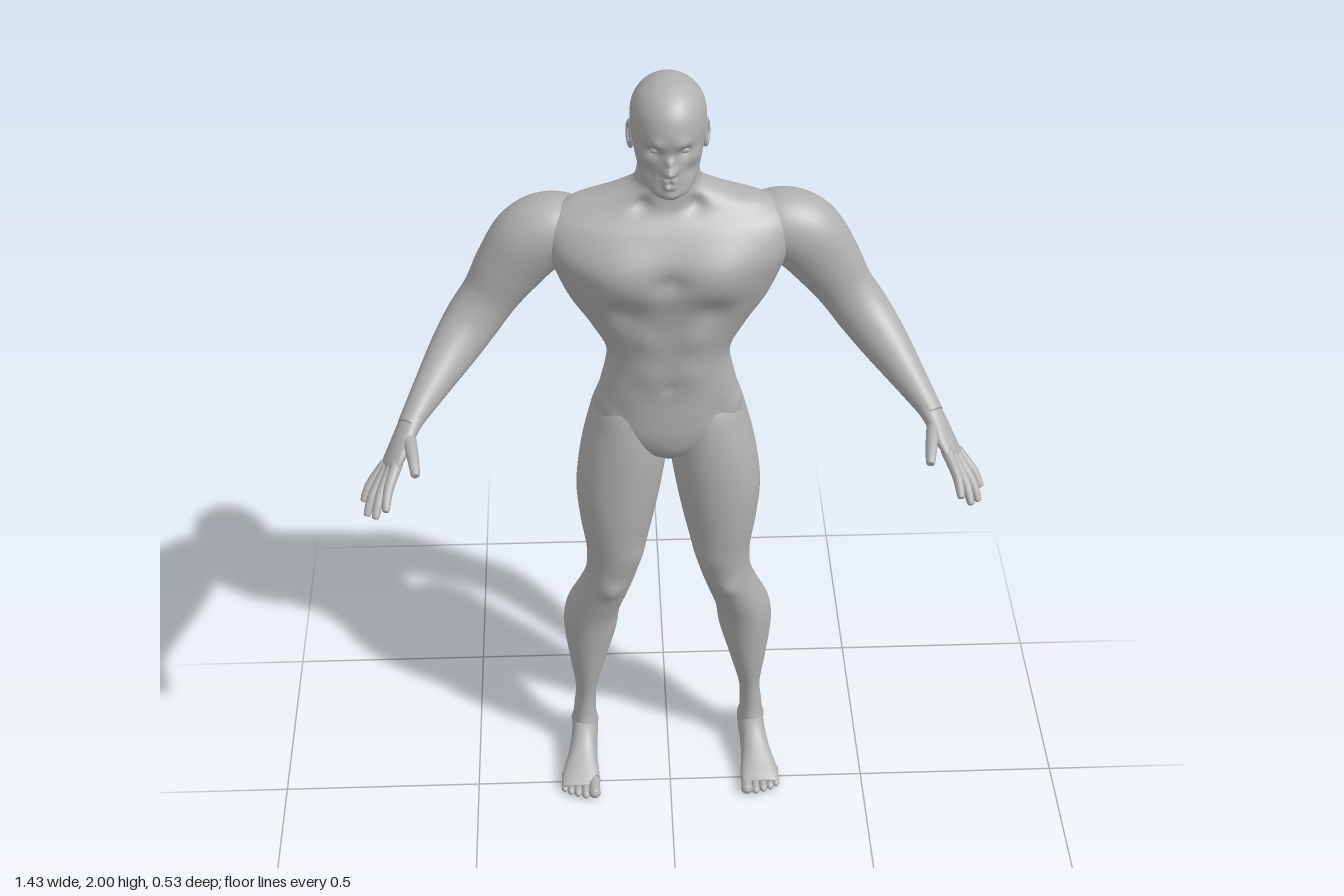
import * as THREE from 'three';

const skin = new THREE.MeshStandardMaterial({ color: 0xb0b0b0 });
skin.name = 'skin grey';

// Smooth tube through sections [x, y, z, radiusU, radiusV, squareness].
// flat keeps the rings horizontal; otherwise they follow the path, turned by ref.
function loft(sections, { flat = false, ref = [0, 0, 1], steps = 6, around = 32 } = {}) {
  const path = new THREE.CatmullRomCurve3(sections.map(s => new THREE.Vector3(s[0], s[1], s[2])), false, 'catmullrom', 0.5);
  const size = new THREE.CatmullRomCurve3(sections.map(s => new THREE.Vector3(s[3], s[4], s[5] ?? 2)), false, 'catmullrom', 0.5);
  const rows = (sections.length - 1) * steps;
  const refV = new THREE.Vector3(...ref);
  const pos = [], index = [];
  const power = (v, p) => Math.sign(v) * Math.pow(Math.abs(v), 2 / p);
  for (let r = -1; r <= rows + 1; r++) {
    const t = Math.min(Math.max(r / rows, 0), 1);
    const c = path.getPoint(t), s = size.getPoint(t);
    const closed = r < 0 || r > rows ? 0 : 1;
    const T = path.getTangent(t);
    if (flat) T.set(0, Math.sign(T.y) || 1, 0);
    const U = T.clone().cross(refV).normalize();
    const V = U.clone().cross(T).normalize();
    for (let i = 0; i < around; i++) {
      const a = (i / around) * Math.PI * 2;
      const p = c.clone()
        .addScaledVector(U, closed * s.x * power(Math.cos(a), s.z))
        .addScaledVector(V, closed * s.y * power(Math.sin(a), s.z));
      pos.push(p.x, p.y, p.z);
    }
  }
  for (let r = 0; r < rows + 2; r++) {
    for (let i = 0; i < around; i++) {
      const a = r * around + i, b = r * around + (i + 1) % around;
      index.push(a, a + around, b, b, a + around, b + around);
    }
  }
  const g = new THREE.BufferGeometry();
  g.setAttribute('position', new THREE.Float32BufferAttribute(pos, 3));
  g.setIndex(index);
  g.computeVertexNormals();
  return g;
}

// Horizontal section given by its limits: [y, left x, right x, back z, front z, squareness]
const slab = ([y, x0, x1, zb, zf, p = 2]) => [(x0 + x1) / 2, y, (zb + zf) / 2, (x1 - x0) / 2, (zf - zb) / 2, p];
const centred = ([y, w, zb, zf, p]) => slab([y, -w, w, zb, zf, p]);

// Soft brushes [x, y, z, radius, dx, dy, dz], mirrored when off the centre line
function sculpt(g, brushes) {
  const all = brushes.flatMap(b => b[0] ? [b, [-b[0], b[1], b[2], b[3], -b[4], b[5], b[6]]] : [b]);
  const P = g.attributes.position, v = new THREE.Vector3();
  for (let i = 0; i < P.count; i++) {
    v.fromBufferAttribute(P, i);
    const o = v.clone();
    for (const [x, y, z, r, dx, dy, dz] of all) {
      const k = Math.exp(-((o.x - x) ** 2 + (o.y - y) ** 2 + (o.z - z) ** 2) / (r * r));
      v.x += dx * k; v.y += dy * k; v.z += dz * k;
    }
    P.setXYZ(i, v.x, v.y, v.z);
  }
  g.computeVertexNormals();
  return g;
}

function mirrored(g) {
  const m = g.clone().scale(-1, 1, 1), ix = m.index;
  for (let i = 0; i < ix.count; i += 3) {
    const a = ix.getX(i);
    ix.setX(i, ix.getX(i + 1));
    ix.setX(i + 1, a);
  }
  m.computeVertexNormals();
  return m;
}

function ball(x, y, z, sx, sy, sz) {
  return new THREE.SphereGeometry(1, 20, 14).scale(sx, sy, sz).translate(x, y, z);
}

export function createModel() {
  const model = new THREE.Group();
  model.name = 'standingFigure';
  const add = (name, g) => {
    const m = new THREE.Mesh(g, skin);
    m.name = name;
    model.add(m);
  };
  const pair = (name, g) => {
    add(name + 'Left', g);
    add(name + 'Right', mirrored(g));
  };

  // Torso and neck, with chest, shoulder blades and spine groove
  const torso = loft([
    [0.99, 0.03, -0.17, -0.08], [1.03, 0.10, -0.19, -0.04], [1.08, 0.165, -0.215, -0.025],
    [1.14, 0.176, -0.23, -0.024, 2.2], [1.2, 0.16, -0.215, -0.025, 2.3], [1.3, 0.145, -0.212, -0.02, 2.3],
    [1.38, 0.185, -0.23, -0.015, 2.3], [1.45, 0.23, -0.243, -0.006, 2.3], [1.52, 0.26, -0.25, 0.004, 2.3],
    [1.58, 0.28, -0.25, 0, 2.4], [1.64, 0.28, -0.236, -0.03, 2.3], [1.68, 0.23, -0.215, -0.062],
    [1.705, 0.15, -0.205, -0.07], [1.735, 0.085, -0.193, -0.072], [1.77, 0.07, -0.188, -0.066], [1.84, 0.064, -0.18, -0.07],
  ].map(centred), { flat: true, steps: 8, around: 96 });
  sculpt(torso, [
    [0.11, 1.54, 0, 0.08, 0, 0, 0.02], [0.1, 1.45, -0.01, 0.04, 0, 0, -0.012],
    [0, 1.54, 0.01, 0.028, 0, 0, -0.014], [0.1, 1.485, 0.01, 0.012, 0, 0, 0.004],
    [0.17, 1.58, -0.24, 0.07, 0, 0, -0.018], [0.08, 1.5, -0.25, 0.07, 0, 0, -0.012],
    [0.055, 1.37, -0.015, 0.035, 0, 0, 0.006], [0.05, 1.27, -0.02, 0.035, 0, 0, 0.005],
    [0, 1.235, -0.022, 0.01, 0, 0, -0.008], [0.12, 1.15, -0.04, 0.03, 0, 0, -0.006],
    [0.06, 1.7, -0.07, 0.02, 0, 0, -0.015],
    ...[1.22, 1.28, 1.34, 1.4, 1.46, 1.52, 1.58, 1.64].map(y => [0, y, -0.24, 0.035, 0, 0, 0.013]),
  ]);
  add('torso', torso);

  // Head, with nose, brow, eye sockets, lips, chin and cheekbones
  const head = loft([
    [1.751, 0.026, -0.06, -0.012], [1.765, 0.047, -0.09, -0.001], [1.79, 0.063, -0.14, -0.003],
    [1.82, 0.073, -0.185, -0.006], [1.86, 0.081, -0.213, -0.007], [1.9, 0.085, -0.222, -0.002],
    [1.94, 0.081, -0.217, -0.012], [1.97, 0.064, -0.195, -0.034], [1.99, 0.038, -0.162, -0.068], [1.999, 0.012, -0.13, -0.1],
  ].map(centred), { flat: true, steps: 10, around: 112 });
  sculpt(head, [
    [0, 1.828, -0.005, 0.012, 0, 0, 0.027], [0, 1.848, -0.005, 0.01, 0, 0, 0.013],
    [0.012, 1.824, -0.005, 0.007, 0, 0, 0.009], [0.03, 1.887, -0.01, 0.016, 0, 0, 0.007],
    [0.032, 1.868, -0.018, 0.014, 0, 0, -0.012], [0.009, 1.803, -0.004, 0.008, 0, 0, 0.008],
    [0.007, 1.789, -0.004, 0.008, 0, 0, 0.008], [0, 1.796, 0, 0.006, 0, 0, -0.006],
    [0, 1.766, 0, 0.015, 0, 0, 0.005], [0.055, 1.845, -0.04, 0.02, 0.004, 0, 0.004],
    [0.045, 1.815, -0.03, 0.018, -0.004, 0, -0.004],
  ]);
  add('head', head);
  pair('eye', ball(0.031, 1.868, -0.029, 0.013, 0.009, 0.01));

  // Ears: a rim around a shallow shell
  pair('earRim', new THREE.TorusGeometry(0.017, 0.006, 10, 24).scale(0.85, 1.5, 0.9)
    .rotateY(Math.PI / 2 - 0.3).rotateX(-0.15).translate(0.084, 1.86, -0.117));
  pair('earShell', ball(0.081, 1.858, -0.114, 0.006, 0.024, 0.014));

  // Arms from the shoulder to the wrist
  pair('arm', loft([
    [0.2, 1.6, -0.155, 0.068, 0.078], [0.265, 1.598, -0.155, 0.085, 0.085], [0.315, 1.57, -0.15, 0.09, 0.082],
    [0.365, 1.505, -0.145, 0.08, 0.07], [0.41, 1.435, -0.14, 0.067, 0.062], [0.455, 1.375, -0.12, 0.064, 0.06],
    [0.5, 1.325, -0.072, 0.056, 0.052], [0.55, 1.275, 0, 0.041, 0.04], [0.588, 1.237, 0.058, 0.029, 0.032],
    [0.602, 1.222, 0.08, 0.025, 0.03],
  ], { steps: 8, around: 40 }));

  // Hands: palm, four spread fingers and a thumb
  const spread = [0.03, -0.025, -0.04];
  pair('palm', loft([
    [0.585, 1.24, 0.055, 0.027, 0.03], [0.605, 1.215, 0.085, 0.023, 0.034], [0.625, 1.185, 0.12, 0.019, 0.04],
    [0.642, 1.163, 0.147, 0.014, 0.04], [0.649, 1.155, 0.157, 0.007, 0.033],
  ], { ref: spread, around: 28 }));
  const digits = {
    indexFinger: [[0.626, 1.176, 0.158], [0.645, 1.145, 0.215], [0.652, 1.113, 0.26]],
    middleFinger: [[0.638, 1.164, 0.15], [0.665, 1.125, 0.21], [0.678, 1.086, 0.25]],
    ringFinger: [[0.648, 1.156, 0.14], [0.683, 1.112, 0.187], [0.7, 1.072, 0.22]],
    littleFinger: [[0.655, 1.152, 0.126], [0.692, 1.115, 0.158], [0.709, 1.084, 0.182]],
    thumb: [[0.603, 1.213, 0.095], [0.59, 1.2, 0.165], [0.582, 1.18, 0.218]],
  };
  for (const [name, [base, knuckle, tip]] of Object.entries(digits)) {
    const r = name === 'thumb' ? 0.014 : 0.0115;
    const near = tip.map((v, i) => v + (knuckle[i] - v) * 0.12);
    pair(name, loft([
      [...base, r * 1.2, r * 1.2], [...knuckle, r, r], [...near, r * 0.75, r * 0.75], [...tip, r * 0.3, r * 0.3],
    ], { ref: [1, 0, 0], around: 14 }));
  }

  // Legs with buttocks, thighs, knees and calves
  const leg = loft([
    [1.185, 0.05, 0.13, -0.19, -0.08], [1.14, 0.012, 0.172, -0.245, -0.045], [1.08, 0.003, 0.192, -0.262, -0.03],
    [1, 0.003, 0.212, -0.24, -0.022], [0.9, 0.018, 0.224, -0.218, -0.02], [0.8, 0.037, 0.217, -0.213, -0.024],
    [0.7, 0.06, 0.203, -0.2, -0.035], [0.62, 0.08, 0.207, -0.198, -0.046], [0.55, 0.1, 0.23, -0.218, -0.06],
    [0.47, 0.122, 0.26, -0.25, -0.08], [0.4, 0.132, 0.266, -0.253, -0.09], [0.3, 0.16, 0.254, -0.228, -0.1],
    [0.2, 0.186, 0.241, -0.204, -0.115], [0.13, 0.19, 0.247, -0.2, -0.115], [0.075, 0.19, 0.25, -0.212, -0.1],
    [0.03, 0.194, 0.249, -0.212, -0.11],
  ].map(slab), { flat: true, steps: 7, around: 48 });
  sculpt(leg, [
    [0.145, 0.6, -0.05, 0.03, 0, 0, 0.01], [0.1, 0.7, -0.07, 0.04, -0.006, 0, 0.006],
    [0.19, 0.085, -0.15, 0.016, -0.006, 0, 0], [0.25, 0.08, -0.165, 0.016, 0.006, 0, 0],
  ]);
  pair('leg', leg);

  // Feet with a row of toes
  pair('foot', loft([
    [0.22, 0.034, -0.222, 0.018, 0.02], [0.22, 0.041, -0.205, 0.032, 0.04], [0.22, 0.052, -0.16, 0.034, 0.051],
    [0.222, 0.052, -0.11, 0.034, 0.051], [0.227, 0.038, -0.06, 0.038, 0.037], [0.232, 0.025, -0.01, 0.047, 0.024],
    [0.234, 0.017, 0.022, 0.049, 0.016], [0.234, 0.014, 0.036, 0.044, 0.009],
  ].map(s => [...s, 2.3]), { ref: [0, 1, 0], around: 36 }));
  [[0.198, 0.072, 0.015], [0.221, 0.07, 0.0105], [0.241, 0.063, 0.01], [0.259, 0.055, 0.0095], [0.275, 0.044, 0.009]]
    .forEach(([x, tip, r], i) => pair('toe' + (i + 1), loft([
      [x, r + 0.004, tip - 0.06, r, r], [x, r + 0.004, tip - 0.03, r * 0.9, r * 0.9],
      [x, r, tip - 0.01, r, r], [x, r * 0.9, tip, r * 0.4, r * 0.4],
    ], { ref: [0, 1, 0], around: 16 })));

  return model;
}
